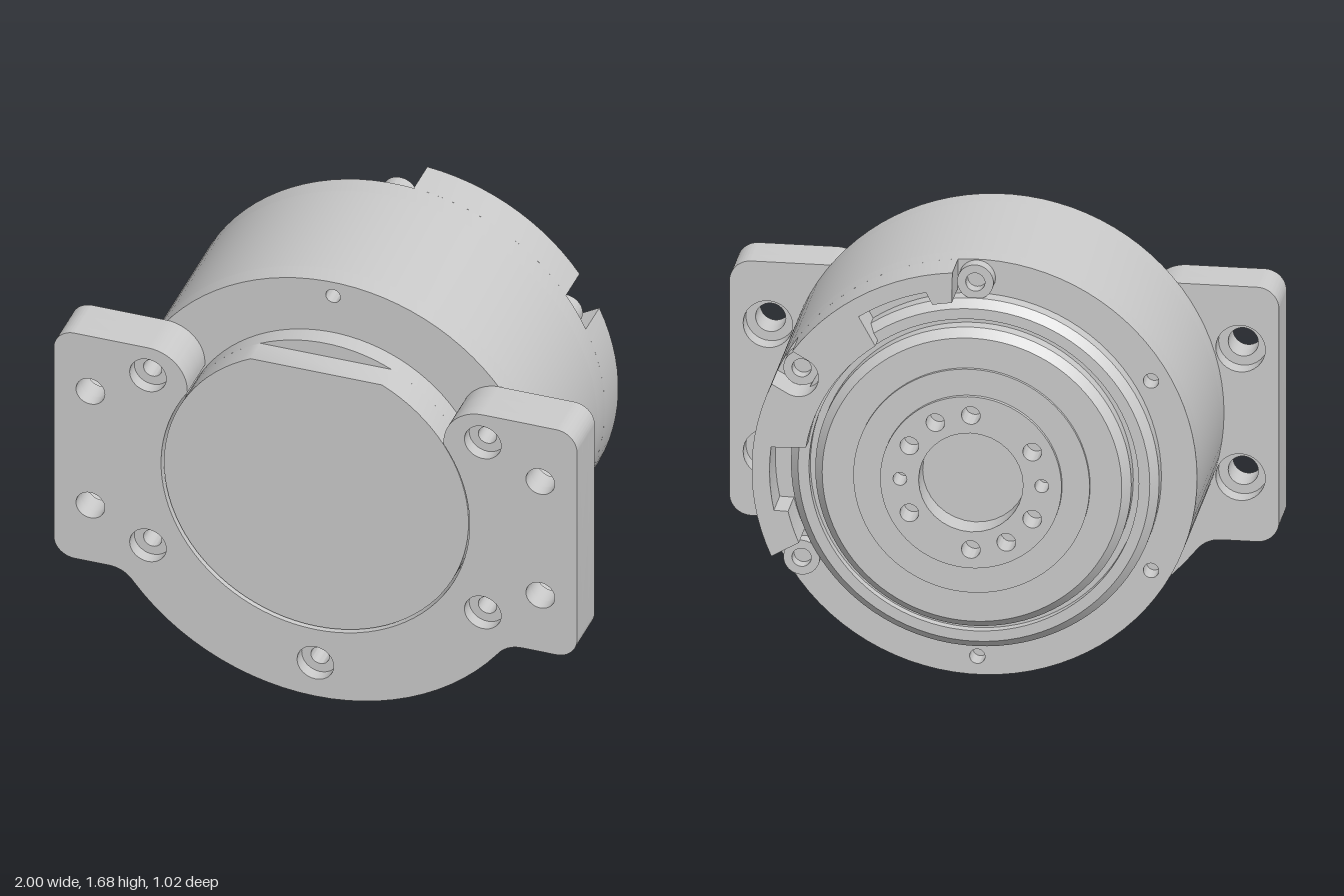
import * as THREE from 'three';
import { toCreasedNormals } from 'three/addons/utils/BufferGeometryUtils.js';

const RAD = Math.PI / 180;
const material = new THREE.MeshStandardMaterial({ color: 0xcccccc });
const polar = (r, deg) => [r * Math.cos(deg * RAD), r * Math.sin(deg * RAD)];

// Points along an arc, angles in degrees, either direction
function arc(cx, cy, r, a0, a1) {
  const n = Math.max(4, Math.ceil(Math.abs(a1 - a0) / 4));
  return Array.from({ length: n + 1 }, (_, i) => {
    const [x, y] = polar(r, a0 + ((a1 - a0) * i) / n);
    return new THREE.Vector2(cx + x, cy + y);
  });
}

// Flat plate from an outline, with round holes [x, y, r], between two z levels
function plate(points, holes, z0, z1) {
  const shape = new THREE.Shape(points);
  for (const [x, y, r] of holes) {
    shape.holes.push(new THREE.Path().absarc(x, y, r, 0, Math.PI * 2, true));
  }
  const geo = new THREE.ExtrudeGeometry(shape, { depth: z1 - z0, bevelEnabled: false, curveSegments: 16 });
  return toCreasedNormals(geo.translate(0, 0, z0), 0.5);
}

const disc = (r) => arc(0, 0, r, 0, 360).slice(0, -1);

function flangeOutline() {
  const fillet = new THREE.QuadraticBezierCurve(
    new THREE.Vector2(...polar(0.88, -38)),
    new THREE.Vector2(0.73, -0.49),
    new THREE.Vector2(0.79, -0.49)
  ).getPoints(8).slice(1);
  const right = [
    ...arc(0, 0, 0.88, -90, -38),
    ...fillet,
    ...arc(0.92, -0.41, 0.08, -90, 0),
    ...arc(0.92, 0.41, 0.08, 0, 90),
    ...arc(0.64, 0.34, 0.15, 90, 180),
    ...arc(0, 0, 0.59, 34, -90),
  ];
  const left = right.slice(1, -1).reverse().map((p) => new THREE.Vector2(-p.x, p.y));
  return [...right, ...left];
}

// Raised rim sector with a radial screw slot and inward-opening pockets
function rimOutline() {
  const [sx, sy] = polar(0.73, 30);
  return [
    ...arc(0, 0, 0.8, -24.4, 24.6),
    ...arc(sx, sy, 0.075, -60, -240),
    ...arc(0, 0, 0.8, 35.4, 85),
    ...arc(0, 0, 0.685, 84, 78),
    ...arc(0, 0, 0.735, 77, 56),
    ...arc(0, 0, 0.61, 55, 9),
    ...arc(0, 0, 0.735, 7, -12),
    ...arc(0, 0, 0.685, -13, -23.5),
  ];
}

export function createModel() {
  const model = new THREE.Group();
  const axis = new THREE.Group();
  axis.name = 'actuator';
  axis.position.y = 0.88;
  model.add(axis);
  const add = (name, geo) => {
    const mesh = new THREE.Mesh(geo, material);
    mesh.name = name;
    axis.add(mesh);
  };

  // Main housing, with blind screw holes in both end faces
  const rearHoles = [150, 210, 270].map((a) => [...polar(0.73, a), 0.028]);
  add('housingRear', plate(disc(0.8), rearHoles, -0.35, -0.27));
  add('housingCore', plate(disc(0.8), [], -0.27, 0.24));
  add('housingFront', plate(disc(0.8), [[0, 0.74, 0.028]], 0.24, 0.32));

  // Mounting flange in layers: counterbored screws in front, counterbored ears behind
  const outline = flangeOutline();
  const screws = [[0.64, 0.37], [-0.64, 0.37], [0.64, -0.37], [-0.64, -0.37], [0, -0.735]];
  const ears = [[0.86, 0.25], [-0.86, 0.25], [0.86, -0.245], [-0.86, -0.245]];
  const layers = [
    ['flangeRear', 0.32, 0.39, 0.035, 0.09],
    ['flangeMiddle', 0.39, 0.46, 0.035, 0.055],
    ['flangeFront', 0.46, 0.51, 0.07, 0.055],
  ];
  for (const [name, z0, z1, screwR, earR] of layers) {
    const holes = [...screws.map((p) => [...p, screwR]), ...ears.map((p) => [...p, earR])];
    add(name, plate(outline, holes, z0, z1));
  }

  // Front cover: full disc, then one with a flat across the top
  add('coverBase', plate(disc(0.582), [], 0.32, 0.395));
  add('coverFace', plate(arc(0, 0, 0.582, 115.5, 424.5), [], 0.395, 0.5));

  // Raised rim and screw bosses on the rear face
  add('rearRim', plate(rimOutline(), [], -0.495, -0.35));
  for (const a of [-30, 30, 90]) {
    const [x, y] = polar(0.73, a);
    const boss = plate(arc(0, 0, 0.066, 0, 360).slice(0, -1), [[0, 0, 0.035]], -0.4, -0.35);
    add('screwBoss', boss.translate(x, y, 0));
  }

  // Stepped output rings, turned about the axis
  const profile = [
    [0.67, 0.33], [0.67, 0.405], [0.64, 0.435], [0.6, 0.435], [0.6, 0.4], [0.575, 0.4],
    [0.575, 0.45], [0.545, 0.483], [0.43, 0.483], [0.43, 0.496], [0.325, 0.496],
    [0.325, 0.41], [0, 0.41],
  ].map(([r, h]) => new THREE.Vector2(r, h));
  const rings = new THREE.LatheGeometry(profile, 96).rotateX(-Math.PI / 2);
  add('outputRings', toCreasedNormals(rings, 0.5));

  // Output hub with centre bore and two groups of five holes
  const hubHoles = [[0, 0, 0.19]];
  for (const side of [0, 180]) {
    for (const a of [-30, 0, 30, 60, 90]) {
      hubHoles.push([...polar(0.258, a + side), a === 0 ? 0.025 : 0.034]);
    }
  }
  add('outputHub', plate(disc(0.33), hubHoles, -0.512, -0.41));

  return model;
}
